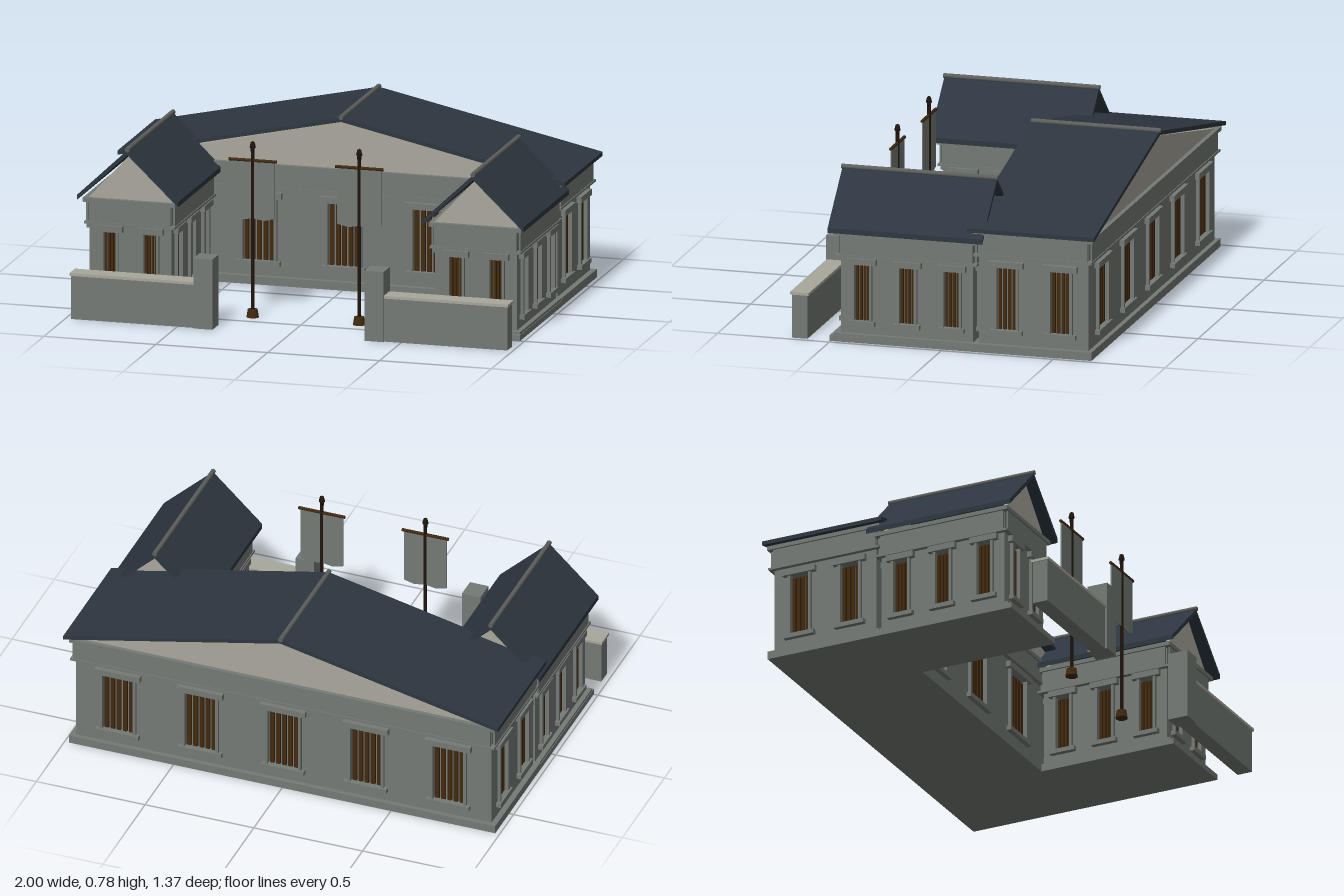
import * as THREE from 'three';

const mat = (name, color) => {
  const m = new THREE.MeshStandardMaterial({ color });
  m.name = name;
  return m;
};

export function createModel() {
  const stone = mat('grey stone', 0x747a75);
  const pale = mat('pale plaster', 0xa9a79c);
  const slate = mat('dark slate', 0x2d3640);
  const ridgeGrey = mat('ridge grey', 0x5e605d);
  const wood = mat('brown wood', 0x42290f);
  const iron = mat('dark pole', 0x21150d);

  const model = new THREE.Group();
  model.name = 'courtyardHall';

  const add = (parent, name, geo, m, x = 0, y = 0, z = 0) => {
    const mesh = new THREE.Mesh(geo, m);
    mesh.name = name;
    mesh.position.set(x, y, z);
    parent.add(mesh);
    return mesh;
  };
  // box given by its limits on each axis
  const block = (parent, name, m, [x0, x1], [y0, y1], [z0, z1]) =>
    add(parent, name, new THREE.BoxGeometry(x1 - x0, y1 - y0, z1 - z0), m,
      (x0 + x1) / 2, (y0 + y1) / 2, (z0 + z1) / 2);
  const group = (parent, name) => {
    const g = new THREE.Group();
    g.name = name;
    parent.add(g);
    return g;
  };
  const polygon = (pts) => new THREE.Shape(pts.map(([x, y]) => new THREE.Vector2(x, y)));
  const extrude = (shape, depth) =>
    new THREE.ExtrudeGeometry(shape, { depth, bevelEnabled: false });

  // framed and barred window; local z = 0 is the outer wall face
  const addWindow = (parent, cx, s, w, bars) => {
    const g = group(parent, 'window');
    g.position.x = cx;
    const h = w / 2, j = s.jamb;
    for (const side of [-1, 1]) {
      const e = side * (h + j / 2);
      block(g, 'jamb', stone, [e - j / 2, e + j / 2], [s.bottom, s.top], [-0.005, 0.014]);
    }
    block(g, 'lintel', stone, [-h - s.ear, h + s.ear], [s.top, s.top + 0.027], [-0.005, 0.022]);
    block(g, 'sill', stone, [-h - s.ear + 0.006, h + s.ear - 0.006],
      [s.bottom - 0.02, s.bottom], [-0.005, 0.022]);
    block(g, 'shutter', stone, [-h, h], [s.bottom, s.top - 0.01], [-0.02, -0.014]);
    const pitch = w / bars;
    for (let i = 0; i < bars; i++) {
      const x = -h + pitch * (i + 0.5);
      block(g, 'bar', wood, [x - pitch * 0.34, x + pitch * 0.34],
        [s.bottom, s.top - 0.01], [-0.014, -0.003]);
    }
  };

  // one wall with real openings, windows and a raised frieze panel
  const addWall = (parent, name, len, s, win, x, z, turn) => {
    const g = group(parent, name);
    g.position.set(x, 0, z);
    g.rotation.y = turn;
    const h = len / 2;
    const shape = polygon([[-h, 0.03], [h, 0.03], [h, s.cornice], [-h, s.cornice]]);
    for (const c of win.at) {
      const a = c - win.w / 2, b = c + win.w / 2;
      shape.holes.push(new THREE.Path([
        new THREE.Vector2(a, s.bottom), new THREE.Vector2(a, s.top),
        new THREE.Vector2(b, s.top), new THREE.Vector2(b, s.bottom)]));
      addWindow(g, c, s, win.w, win.bars);
    }
    add(g, 'wall', extrude(shape, 0.02), stone, 0, 0, -0.02);
    block(g, 'frieze', stone, [-h, h], [s.ledge, s.cornice], [0.008, 0.016]);
  };

  // four walls, plinth, ledge and cornice of one building
  const addHouse = (parent, s, cx, cz, hx, hz, ends, sides) => {
    addWall(parent, 'frontWall', hx * 2, s, ends, cx, cz + hz, 0);
    addWall(parent, 'backWall', hx * 2, s, ends, cx, cz - hz, Math.PI);
    addWall(parent, 'leftWall', hz * 2, s, sides, cx + hx, cz, Math.PI / 2);
    addWall(parent, 'rightWall', hz * 2, s, sides, cx - hx, cz, -Math.PI / 2);
    const slab = (name, y0, y1, o) => block(parent, name, stone,
      [cx - hx - o, cx + hx + o], [y0, y1], [cz - hz - o, cz + hz + o]);
    slab('ledge', s.ledge - 0.01, s.ledge, 0.02);
    slab('cornice', s.cornice, s.cornice + 0.018, 0.024);
  };

  // gabled roof with thin slabs, ridge cap and a pediment at each end
  const addRoof = (parent, r) => {
    const g = group(parent, 'roof');
    g.position.x = r.x;
    const t = r.thick;
    for (const side of [-1, 1]) {
      const pts = [[0, r.ridge], [0, r.ridge - t], [side * r.half, r.eave - t], [side * r.half, r.eave]];
      add(g, 'roofSlope', extrude(polygon(pts), r.z1 - r.z0), slate, 0, 0, r.z0);
    }
    const cap = add(g, 'ridgeCap', new THREE.CylinderGeometry(0.011, 0.011, r.z1 - r.z0 + 0.008, 8),
      ridgeGrey, 0, r.ridge + 0.002, (r.z0 + r.z1) / 2);
    cap.rotation.x = Math.PI / 2;
    const tri = polygon([[-r.gable, r.base], [r.gable, r.base], [0, r.apex]]);
    for (const z of r.gables) add(g, 'pediment', extrude(tri, 0.02), pale, 0, 0, z - 0.01);
  };

  // main hall
  const hall = group(model, 'mainHall');
  const hallSpec = { bottom: 0.103, top: 0.38, jamb: 0.013, ear: 0.035, ledge: 0.433, cornice: 0.516 };
  addHouse(hall, hallSpec, 0, -0.4, 0.955, 0.245,
    { at: [-0.76, -0.38, 0, 0.38, 0.76], w: 0.14, bars: 5 },
    { at: [-0.12, 0.12], w: 0.085, bars: 4 });
  block(hall, 'plinth', stone, [-0.98, 0.98], [0, 0.036], [-0.665, -0.13]);
  addRoof(hall, { x: 0, half: 1, ridge: 0.768, eave: 0.552, thick: 0.018, z0: -0.683, z1: -0.112,
    gable: 0.95, base: 0.53, apex: 0.742, gables: [-0.64, -0.16] });

  // two side wings
  const wingSpec = { bottom: 0.095, top: 0.345, jamb: 0.012, ear: 0.032, ledge: 0.385, cornice: 0.472 };
  for (const side of [-1, 1]) {
    const wing = group(model, side > 0 ? 'leftWing' : 'rightWing');
    const cx = side * 0.7725;
    addHouse(wing, wingSpec, cx, 0.165, 0.183, 0.295,
      { at: [-0.09, 0.09], w: 0.055, bars: 4 },
      { at: [-0.2, 0, 0.2], w: 0.066, bars: 4 });
    block(wing, 'plinth', stone, [cx - 0.208, cx + 0.208], [0, 0.025], [-0.13, 0.505]);
    block(wing, 'plinthStep', stone, [cx - 0.205, cx + 0.205], [0.025, 0.036], [-0.13, 0.488]);
    addRoof(wing, { x: cx, half: 0.226, ridge: 0.72, eave: 0.506, thick: 0.022, z0: -0.183, z1: 0.508,
      gable: 0.187, base: 0.488, apex: 0.69, gables: [-0.12, 0.455] });
  }

  // courtyard walls and gate posts
  for (const side of [-1, 1]) {
    const fence = group(model, side > 0 ? 'leftCourtyardWall' : 'rightCourtyardWall');
    const span = (a, b) => (side > 0 ? [a, b] : [-b, -a]);
    block(fence, 'lowWall', stone, span(0.42, 0.975), [0, 0.192], [0.605, 0.675]);
    block(fence, 'coping', pale, span(0.42, 0.98), [0.192, 0.204], [0.598, 0.682]);
    block(fence, 'gatePost', stone, span(0.34, 0.425), [0, 0.31], [0.59, 0.685]);
  }

  // banner poles
  const clothShape = polygon([[-0.098, 0.69], [-0.098, 0.44], [-0.05, 0.428], [0, 0.437],
    [0.05, 0.428], [0.098, 0.44], [0.098, 0.69]]);
  for (const side of [-1, 1]) {
    const pole = group(model, side > 0 ? 'leftBanner' : 'rightBanner');
    pole.position.set(side * 0.238, 0, 0.42);
    add(pole, 'poleBase', new THREE.CylinderGeometry(0.022, 0.028, 0.035, 8), wood, 0, 0.0175, 0);
    add(pole, 'pole', new THREE.CylinderGeometry(0.008, 0.008, 0.72, 8), iron, 0, 0.37, 0);
    const bar = add(pole, 'crossbar', new THREE.CylinderGeometry(0.007, 0.007, 0.214, 8), wood, 0, 0.692, 0);
    bar.rotation.z = Math.PI / 2;
    const tip = [[0, 0.728], [0.009, 0.73], [0.009, 0.745], [0.014, 0.75], [0.009, 0.772], [0, 0.778]];
    add(pole, 'finial', new THREE.LatheGeometry(tip.map(([x, y]) => new THREE.Vector2(x, y)), 8), iron);
    add(pole, 'cloth', extrude(clothShape, 0.006), stone, 0, 0, -0.003);
  }

  return model;
}
